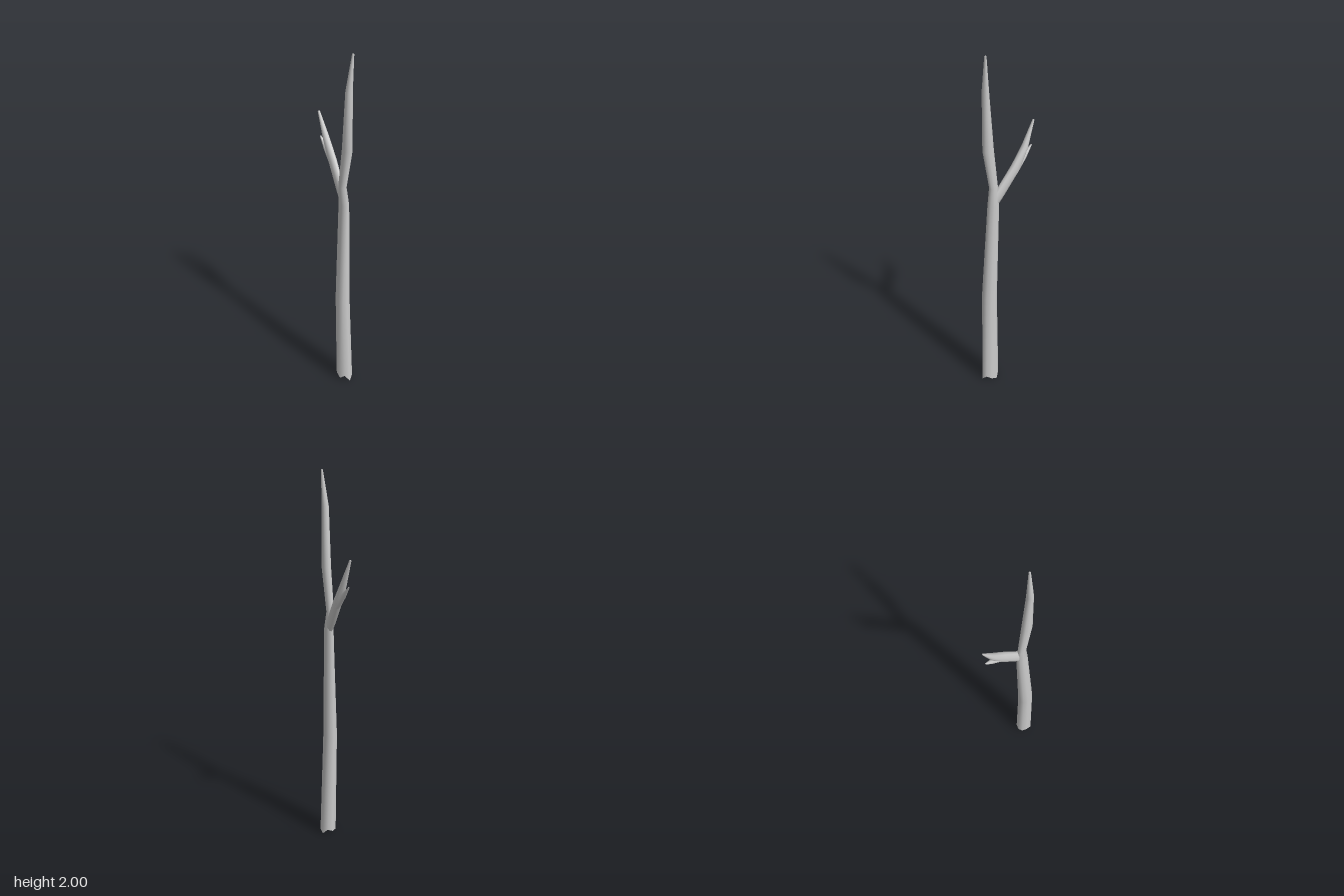
import * as THREE from 'three';

const SIDES = 10;
const material = new THREE.MeshStandardMaterial({ color: 0xcccccc, side: THREE.DoubleSide });

// Broken foot of the trunk: height and radius factor of each corner
const FOOT_Y = [0.002, 0.04, 0.02, 0.035, 0.022, 0.02, 0.03, 0.0, 0.012, 0.03];
const FOOT_R = [1.06, 0.86, 1.02, 1, 1, 1, 1, 1.08, 1, 1];

// Ring rows: [x, y, z, radius across, radius in z]; rings stand square to the path
function ringPoints(rows, jagged) {
  return rows.map(([x, y, z, rx, rz], i) => {
    const a = rows[Math.max(i - 1, 0)], b = rows[Math.min(i + 1, rows.length - 1)];
    const t = new THREE.Vector2(b[0] - a[0], b[1] - a[1]).normalize();
    return Array.from({ length: SIDES }, (_, j) => {
      const ang = (j / SIDES) * Math.PI * 2;
      const f = jagged && i === 0 ? FOOT_R[j] : 1;
      const c = Math.cos(ang) * rx * f, s = Math.sin(ang) * rz * f;
      const py = jagged && i === 0 ? FOOT_Y[j] : y - t.x * c;
      return new THREE.Vector3(x + t.y * c, py, z + s);
    });
  });
}

function limb(name, rings) {
  const index = [];
  for (let i = 0; i < rings.length - 1; i++) {
    for (let j = 0; j < SIDES; j++) {
      const k = (j + 1) % SIDES;
      const a = i * SIDES + j, b = i * SIDES + k;
      index.push(a, a + SIDES, b, b, a + SIDES, b + SIDES);
    }
  }
  // Rounded point at the end
  const last = rings[rings.length - 1], base = (rings.length - 1) * SIDES;
  const tip = last.reduce((sum, p) => sum.add(p), new THREE.Vector3()).divideScalar(SIDES);
  tip.y += 0.003;
  for (let j = 0; j < SIDES; j++) index.push(base + j, rings.length * SIDES, base + (j + 1) % SIDES);
  const geo = new THREE.BufferGeometry().setFromPoints([...rings.flat(), tip]);
  geo.setIndex(index);
  geo.computeVertexNormals();
  const mesh = new THREE.Mesh(geo, material);
  mesh.name = name;
  return mesh;
}

// Splintered underside, closed by a fan to a raised centre
function footCap(ring) {
  const points = [];
  const centre = new THREE.Vector3(0.105, 0.03, 0);
  ring.forEach((p, j) => points.push(p, ring[(j + 1) % SIDES], centre));
  const geo = new THREE.BufferGeometry().setFromPoints(points);
  geo.computeVertexNormals();
  const mesh = new THREE.Mesh(geo, material);
  mesh.name = 'brokenFoot';
  return mesh;
}

export function createModel() {
  const group = new THREE.Group();
  group.name = 'deadTree';

  const trunk = ringPoints([
    [0.105, 0.02, -0.001, 0.051, 0.043],
    [0.0935, 0.6, 0.008, 0.042, 0.037],
    [0.0735, 1.2, -0.009, 0.032, 0.023],
    [0.0675, 1.3, -0.004, 0.023, 0.019],
    [0.0985, 1.52, -0.007, 0.029, 0.023],
    [0.108, 1.82, -0.006, 0.016, 0.018],
    [0.115, 1.994, -0.02, 0.005, 0.005],
  ], true);
  group.add(limb('trunk', trunk), footCap(trunk[0]));

  // Side branch
  group.add(limb('sideBranch', ringPoints([
    [0.075, 1.21, -0.01, 0.03, 0.016],
    [0.035, 1.262, -0.015, 0.031, 0.016],
    [-0.05, 1.383, -0.027, 0.027, 0.019],
    [-0.103, 1.478, -0.028, 0.017, 0.017],
    [-0.157, 1.604, -0.023, 0.004, 0.006],
  ])));

  // Short spur under the branch
  group.add(limb('spur', ringPoints([
    [-0.045, 1.355, -0.027, 0.014, 0.015],
    [-0.1, 1.423, -0.026, 0.014, 0.013],
    [-0.146, 1.472, -0.024, 0.003, 0.004],
  ])));
  return group;
}
